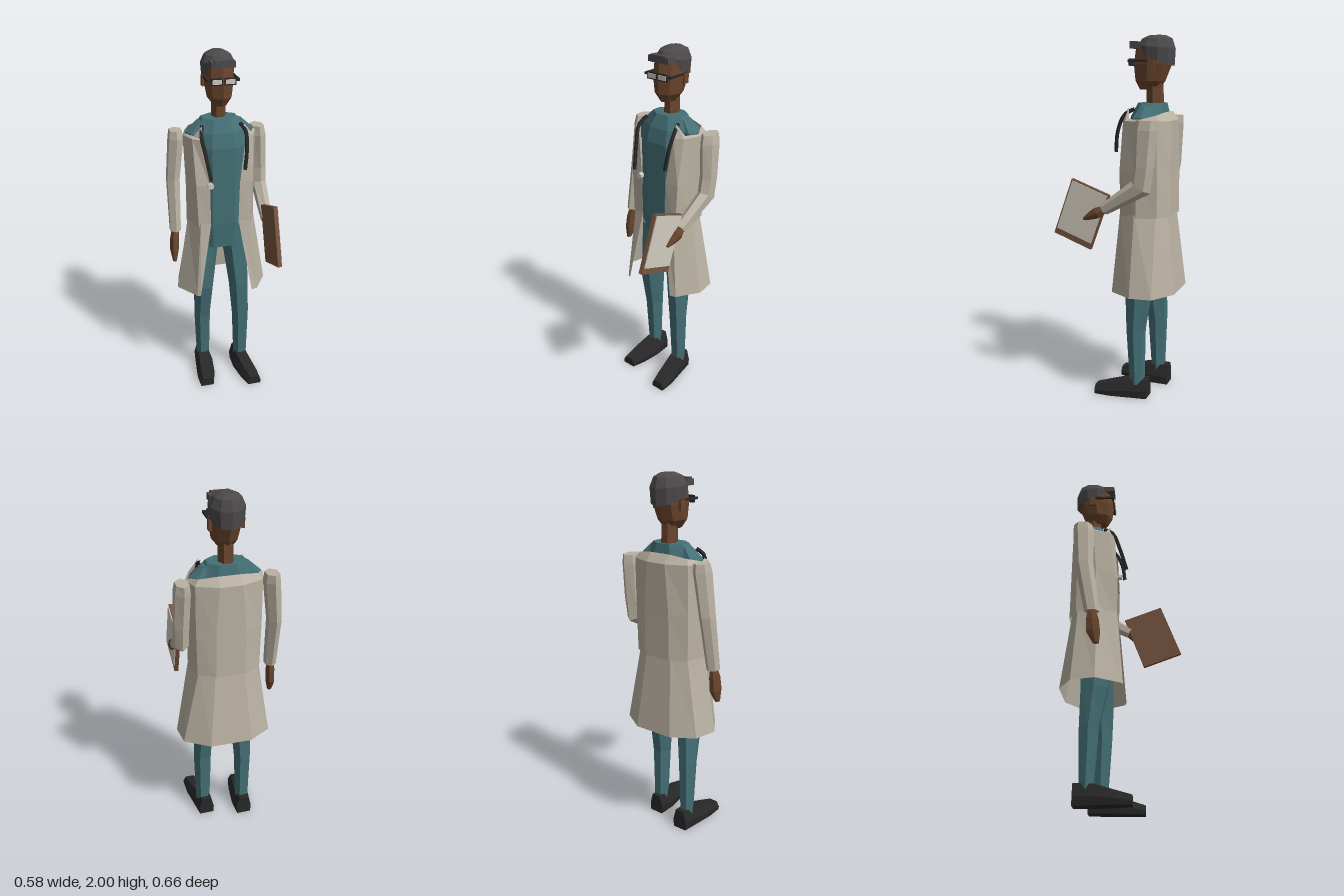
import * as THREE from 'three';

const mat = (name, color, side = THREE.FrontSide) => {
  const m = new THREE.MeshStandardMaterial({ color, flatShading: true, side });
  m.name = name;
  return m;
};

// Skin a series of point rings; closed rings get end caps
function loft(rings, closed = true) {
  const pos = [], n = rings[0].length;
  const tri = (...p) => p.forEach((q) => pos.push(...q));
  for (let i = 0; i < rings.length - 1; i++) {
    const A = rings[i], B = rings[i + 1];
    for (let j = 0; j < (closed ? n : n - 1); j++) {
      const k = (j + 1) % n;
      tri(A[j], B[j], B[k]);
      tri(A[j], B[k], A[k]);
    }
  }
  if (closed) {
    const A = rings[0], B = rings[rings.length - 1];
    for (let j = 1; j < n - 1; j++) {
      tri(A[0], A[j], A[j + 1]);
      tri(B[0], B[j + 1], B[j]);
    }
  }
  const g = new THREE.BufferGeometry();
  g.setAttribute('position', new THREE.Float32BufferAttribute(pos, 3));
  g.computeVertexNormals();
  return g;
}

// Sections are [x, y, z, radiusX, radiusZ, tilt about x]
function limb(sections, n = 6, offset = 0) {
  return loft(sections.map(([x, y, z, rx, rz, t = 0]) =>
    Array.from({ length: n }, (_, j) => {
      const a = ((j + offset) / n) * Math.PI * 2, v = rz * Math.sin(a);
      return [x + rx * Math.cos(a), y + v * Math.sin(t), z + v * Math.cos(t)];
    })));
}

export function createModel() {
  const model = new THREE.Group();
  const coat = mat('coat cloth', 0xbab2a3, THREE.DoubleSide);
  const teal = mat('teal cloth', 0x447076);
  const skin = mat('skin', 0x6a452d);
  const hair = mat('hair', 0x4c494a);
  const black = mat('black', 0x282829);
  const wood = mat('wood', 0x765440);
  const paper = mat('paper', 0xd0cbbf);

  const add = (name, geo, material, x = 0, y = 0, z = 0, parent = model) => {
    const m = new THREE.Mesh(geo, material);
    m.name = name;
    m.position.set(x, y, z);
    parent.add(m);
    return m;
  };
  const box = (name, w, h, d, material, x, y, z, parent) =>
    add(name, new THREE.BoxGeometry(w, h, d), material, x, y, z, parent);

  // Tunic and shoulders
  add('tunic', limb([
    [0.01, 0.9, -0.15, 0.155, 0.1], [0.01, 1.05, -0.15, 0.17, 0.113],
    [0.01, 1.3, -0.15, 0.165, 0.113], [0.01, 1.5, -0.15, 0.17, 0.113],
    [0.01, 1.58, -0.155, 0.155, 0.1], [0.01, 1.65, -0.165, 0.105, 0.075],
  ], 8, 0.5), teal);
  for (const s of [1, -1]) {
    add('tunicShoulder', limb([
      [0.01 + s * 0.145, 1.48, -0.165, 0.045, 0.06],
      [0.01 + s * 0.145, 1.575, -0.165, 0.046, 0.06],
      [0.01 + s * 0.1, 1.635, -0.165, 0.025, 0.035],
    ]), teal);
  }

  // Trouser legs
  add('leftLeg', limb([
    [0.133, 0.08, -0.127, 0.042, 0.043], [0.13, 0.4, -0.118, 0.052, 0.056],
    [0.12, 0.62, -0.13, 0.06, 0.08], [0.09, 0.98, -0.15, 0.08, 0.09],
  ]), teal);
  add('rightLeg', limb([
    [-0.098, 0.08, -0.178, 0.04, 0.04], [-0.1, 0.4, -0.17, 0.05, 0.058],
    [-0.093, 0.62, -0.145, 0.06, 0.083], [-0.07, 0.98, -0.15, 0.08, 0.09],
  ]), teal);

  // Shoes, from heel to toe: [x, z, half width, height]
  const shoe = (name, sections) => add(name, loft(sections.map(([x, z, w, h]) => [
    [x + w, h * 0.4, z], [x + w * 0.92, 0, z], [x - w * 0.92, 0, z],
    [x - w, h * 0.4, z], [x - w * 0.6, h, z], [x + w * 0.6, h, z],
  ])), black);
  shoe('leftShoe', [[0.125, -0.19, 0.045, 0.11], [0.132, -0.09, 0.055, 0.105],
    [0.15, 0.02, 0.055, 0.075], [0.163, 0.11, 0.042, 0.05]]);
  shoe('rightShoe', [[-0.095, -0.245, 0.045, 0.115], [-0.1, -0.14, 0.055, 0.11],
    [-0.113, -0.03, 0.055, 0.075], [-0.123, 0.055, 0.042, 0.05]]);

  // Open coat: each row runs from the right front edge round the back
  const row = (y, pts) => pts.map(([x, z, dy = 0]) => [x, y + dy, z]);
  add('coatSkirt', loft([
    row(0.625, [[-0.145, 0.01], [-0.165, 0], [-0.255, -0.13], [-0.225, -0.26], [-0.1, -0.335],
      [0.13, -0.335], [0.265, -0.25], [0.28, -0.13], [0.2, 0], [0.165, 0.01]]),
    row(1.07, [[-0.07, -0.025], [-0.13, -0.03], [-0.185, -0.13], [-0.15, -0.24], [-0.07, -0.283],
      [0.09, -0.283], [0.17, -0.24], [0.205, -0.13], [0.15, -0.03], [0.09, -0.025]]),
  ], false), coat);
  add('coatBody', loft([
    row(1.05, [[-0.07, -0.03], [-0.14, -0.035], [-0.188, -0.14], [-0.16, -0.25], [-0.07, -0.298],
      [0.09, -0.298], [0.18, -0.25], [0.208, -0.14], [0.16, -0.035], [0.09, -0.03]]),
    row(1.3, [[-0.075, -0.025], [-0.15, -0.035], [-0.188, -0.14], [-0.165, -0.25], [-0.07, -0.295],
      [0.09, -0.295], [0.185, -0.25], [0.208, -0.14], [0.17, -0.035], [0.095, -0.025]]),
    row(1.56, [[-0.11, -0.04], [-0.16, -0.07], [-0.195, -0.16], [-0.165, -0.25], [-0.05, -0.295],
      [0.07, -0.295], [0.185, -0.25], [0.215, -0.16], [0.18, -0.07], [0.13, -0.04]]),
    row(1.6, [[-0.105, -0.07, 0.03], [-0.15, -0.09, -0.03], [-0.185, -0.16, -0.03],
      [-0.145, -0.235, -0.01], [-0.05, -0.26, 0.005], [0.07, -0.26, 0.005],
      [0.165, -0.235, -0.01], [0.205, -0.16, -0.03], [0.17, -0.09, -0.03], [0.125, -0.07, 0.03]]),
  ], false), coat);

  // Right arm hangs down
  add('rightSleeve', limb([
    [-0.255, 1.0, -0.15, 0.034, 0.042], [-0.25, 1.3, -0.2, 0.04, 0.052],
    [-0.226, 1.53, -0.21, 0.045, 0.06], [-0.225, 1.575, -0.215, 0.038, 0.052],
  ], 6, 0.5), coat);
  add('rightHand', limb([
    [-0.268, 0.81, -0.125, 0.012, 0.018], [-0.265, 0.88, -0.14, 0.026, 0.042],
    [-0.262, 0.95, -0.145, 0.026, 0.038], [-0.255, 1.01, -0.15, 0.02, 0.025],
  ]), skin);

  // Left arm bends forward to hold the board
  add('leftSleeve', limb([
    [0.243, 1.57, -0.215, 0.038, 0.06, Math.PI],
    [0.245, 1.52, -0.21, 0.046, 0.066, Math.PI],
    [0.252, 1.33, -0.2, 0.044, 0.055, Math.PI],
    [0.252, 1.225, -0.185, 0.042, 0.06, 3.65],
    [0.238, 1.093, 0.028, 0.034, 0.032, 4.13],
  ], 6, 0.5), coat);
  add('leftHand', limb([
    [0.245, 1.1, 0.015, 0.018, 0.022, 4.13], [0.255, 1.075, 0.06, 0.02, 0.034, 4.13],
    [0.253, 1.055, 0.1, 0.015, 0.025, 4.13], [0.25, 1.035, 0.142, 0.008, 0.008, 4.13],
  ]), skin);

  // Clipboard
  const board = new THREE.Group();
  board.name = 'clipboard';
  board.position.set(0.223, 1.055, 0.164);
  board.rotation.x = -0.35;
  model.add(board);
  box('board', 0.022, 0.326, 0.232, wood, 0, 0, 0, board);
  box('sheet', 0.006, 0.285, 0.216, paper, 0.013, 0.014, 0, board);

  // Head and neck
  add('neck', limb([[0.01, 1.6, -0.18, 0.042, 0.05], [0.01, 1.76, -0.175, 0.04, 0.048]]), skin);
  add('head', limb([
    [0.01, 1.72, -0.145, 0.035, 0.055], [0.01, 1.765, -0.15, 0.07, 0.085],
    [0.01, 1.85, -0.163, 0.083, 0.107], [0.01, 1.93, -0.172, 0.082, 0.105],
    [0.01, 1.97, -0.18, 0.06, 0.08],
  ], 8), skin);
  add('hair', limb([
    [0.008, 1.875, -0.182, 0.086, 0.107, 0.32], [0.008, 1.94, -0.183, 0.091, 0.106, 0.1],
    [0.008, 1.982, -0.185, 0.07, 0.085], [0.008, 2.0, -0.188, 0.035, 0.045],
  ], 10, 0.5), hair);
  box('fringe', 0.13, 0.032, 0.06, hair, 0.01, 1.948, -0.086);
  box('fringeTip', 0.1, 0.022, 0.025, hair, 0.01, 1.96, -0.063);

  // Ears and glasses
  for (const s of [1, -1]) {
    const x = (d) => 0.01 + s * d;
    box('ear', 0.016, 0.055, 0.035, skin, x(0.083), 1.845, -0.18);
    box('glassesFrame', 0.062, 0.038, 0.008, black, x(0.036), 1.862, -0.054);
    box('lens', 0.05, 0.024, 0.006, paper, x(0.036), 1.862, -0.049);
    box('glassesArm', 0.008, 0.012, 0.14, black, x(0.084), 1.868, -0.125);
    box('glassesHinge', 0.028, 0.012, 0.01, black, x(0.074), 1.868, -0.058);
  }

  // Stethoscope
  const tube = (pts) => add('stethoscopeTube', new THREE.TubeGeometry(
    new THREE.CatmullRomCurve3(pts.map((p) => new THREE.Vector3(...p))), 10, 0.011, 5), black);
  tube([[0.115, 1.62, -0.1], [0.132, 1.59, -0.05], [0.128, 1.5, -0.01], [0.115, 1.39, 0.005]]);
  tube([[-0.1, 1.62, -0.1], [-0.115, 1.58, -0.05], [-0.1, 1.48, -0.01], [-0.08, 1.35, 0.028]]);
  const disc = add('stethoscopeDisc', new THREE.CylinderGeometry(0.017, 0.017, 0.025, 6),
    paper, -0.075, 1.305, -0.012);
  disc.rotation.x = Math.PI / 2;

  return model;
}
